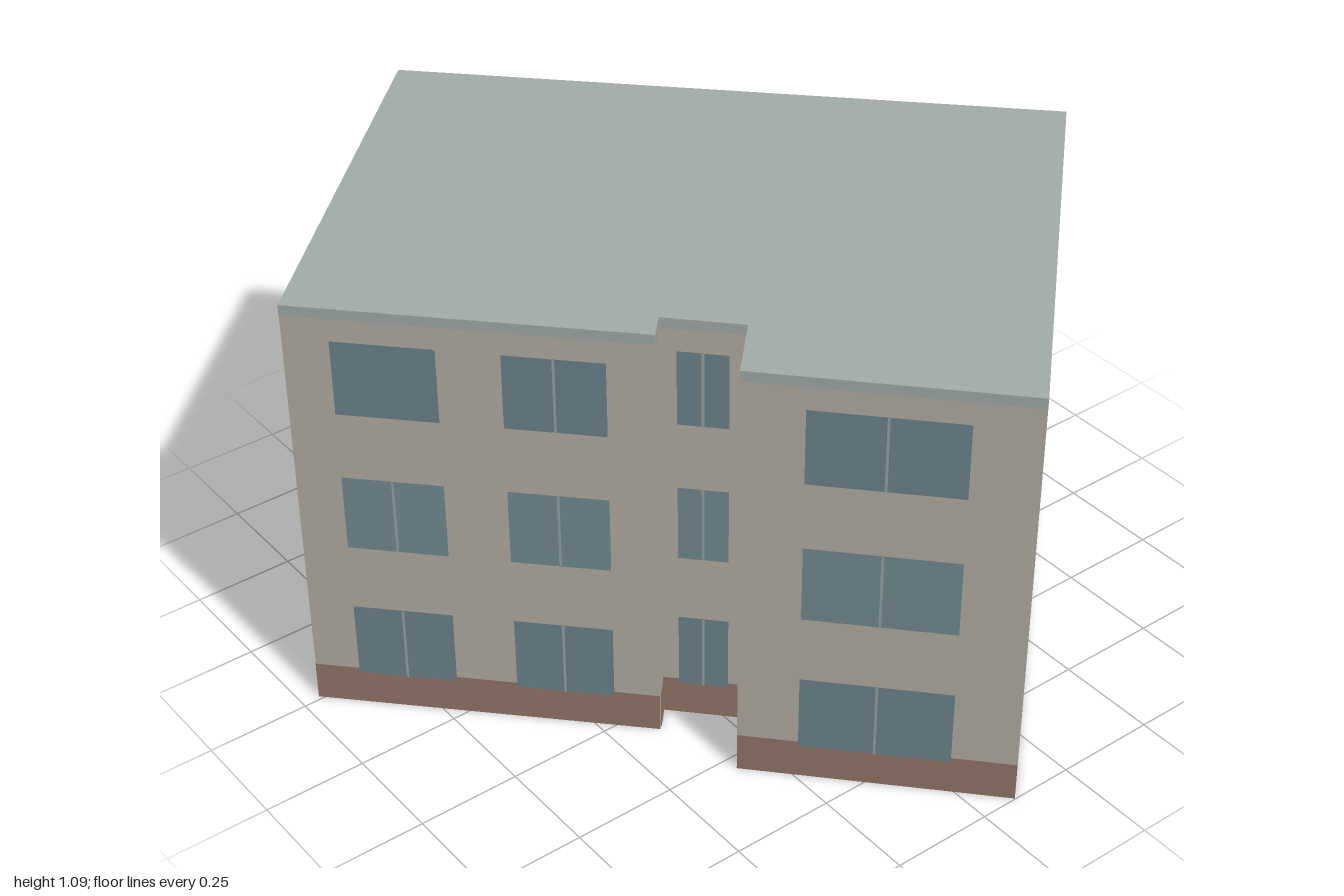
import * as THREE from 'three';

const HEIGHT = 1.09, BASE = 0.1, TRIM = 0.025;
const FLOORS = [[0.09, 0.285], [0.455, 0.65], [0.82, 1.01]];

// Footprint corners [x, z], walked so that the outside lies at (-dz, dx) of each edge
const CORNERS = [
  [-1, 0.18], [-0.262, 0.955], [0.322, 0.392], [0.272, 0.345],
  [0.411, 0.215], [0.535, 0.335], [0.997, -0.095], [0.152, -0.958],
];

// Per wall: name, window spans as fractions of its length,
// and for each floor the columns whose window has a central mullion
const WALLS = [
  ['leftWall', [[0.125, 0.405], [0.585, 0.87]], [[1], [0], [1]]],
  ['frontWall', [[0.13, 0.415], [0.59, 0.87]], [[0, 1], [0, 1], [1]]],
  ['recessReturn', [], []],
  ['recessBackWall', [[0.2, 0.8]], [[0], [0], [0]]],
  ['recessSideWall', [[0.23, 0.78]], [[0], [0], [0]]],
  ['frontRightWall', [[0.22, 0.765]], [[0], [0], [0]]],
  ['rightWall', [[0.09, 0.285], [0.405, 0.6], [0.715, 0.91]], [[1, 2], [], []]],
  ['backWall', [[0.085, 0.28], [0.403, 0.6], [0.72, 0.917]], [[1, 2], [], []]],
];

const mat = (color, side = THREE.FrontSide) => new THREE.MeshStandardMaterial({ color, side });

export function createModel() {
  const building = new THREE.Group();
  building.name = 'apartmentBuilding';
  const wallMat = mat(0xb5aea3, THREE.DoubleSide);
  const roofMat = mat(0xa3ada9, THREE.DoubleSide);
  const trimMat = mat(0xa3ada9);
  const plinthMat = mat(0x94776a);
  const glassMats = [mat(0x6c858e), mat(0x728c93)];
  const mullionMat = mat(0x9aa5a5);

  WALLS.forEach(([name, spans, splits], i) => {
    const [x0, z0] = CORNERS[i];
    const [x1, z1] = CORNERS[(i + 1) % CORNERS.length];
    const length = Math.hypot(x1 - x0, z1 - z0);

    // Each facade is laid out in its own plane: x along the wall, z outward
    const facade = new THREE.Group();
    facade.name = name;
    facade.position.set(x0, 0, z0);
    facade.rotation.y = Math.atan2(z0 - z1, x1 - x0);
    building.add(facade);

    const panel = (part, a, b, y0, y1, out, material) => {
      const mesh = new THREE.Mesh(new THREE.PlaneGeometry(b - a, y1 - y0), material);
      mesh.position.set((a + b) / 2, (y0 + y1) / 2, out);
      mesh.name = part;
      facade.add(mesh);
    };

    panel('wall', 0, length, 0, HEIGHT, 0, wallMat);
    panel('plinth', 0, length, 0, BASE, 0.002, plinthMat);
    panel('roofEdge', 0, length, HEIGHT - TRIM, HEIGHT, 0.002, trimMat);

    // Windows on every floor
    FLOORS.forEach(([y0, y1], floor) => spans.forEach(([f0, f1], col) => {
      const a = f0 * length, b = f1 * length, mid = (a + b) / 2;
      panel('window', a, b, y0, y1, 0.004, glassMats[floor === 1 ? 1 : 0]);
      if (splits[floor].includes(col)) {
        panel('mullion', mid - 0.003, mid + 0.003, y0, y1, 0.006, mullionMat);
      }
    }));
  });

  // Flat roof over the whole footprint
  const outline = new THREE.Shape(CORNERS.map(([x, z]) => new THREE.Vector2(x, -z)));
  const roof = new THREE.Mesh(new THREE.ShapeGeometry(outline), roofMat);
  roof.name = 'roof';
  roof.rotation.x = -Math.PI / 2;
  roof.position.y = HEIGHT;
  building.add(roof);

  return building;
}
